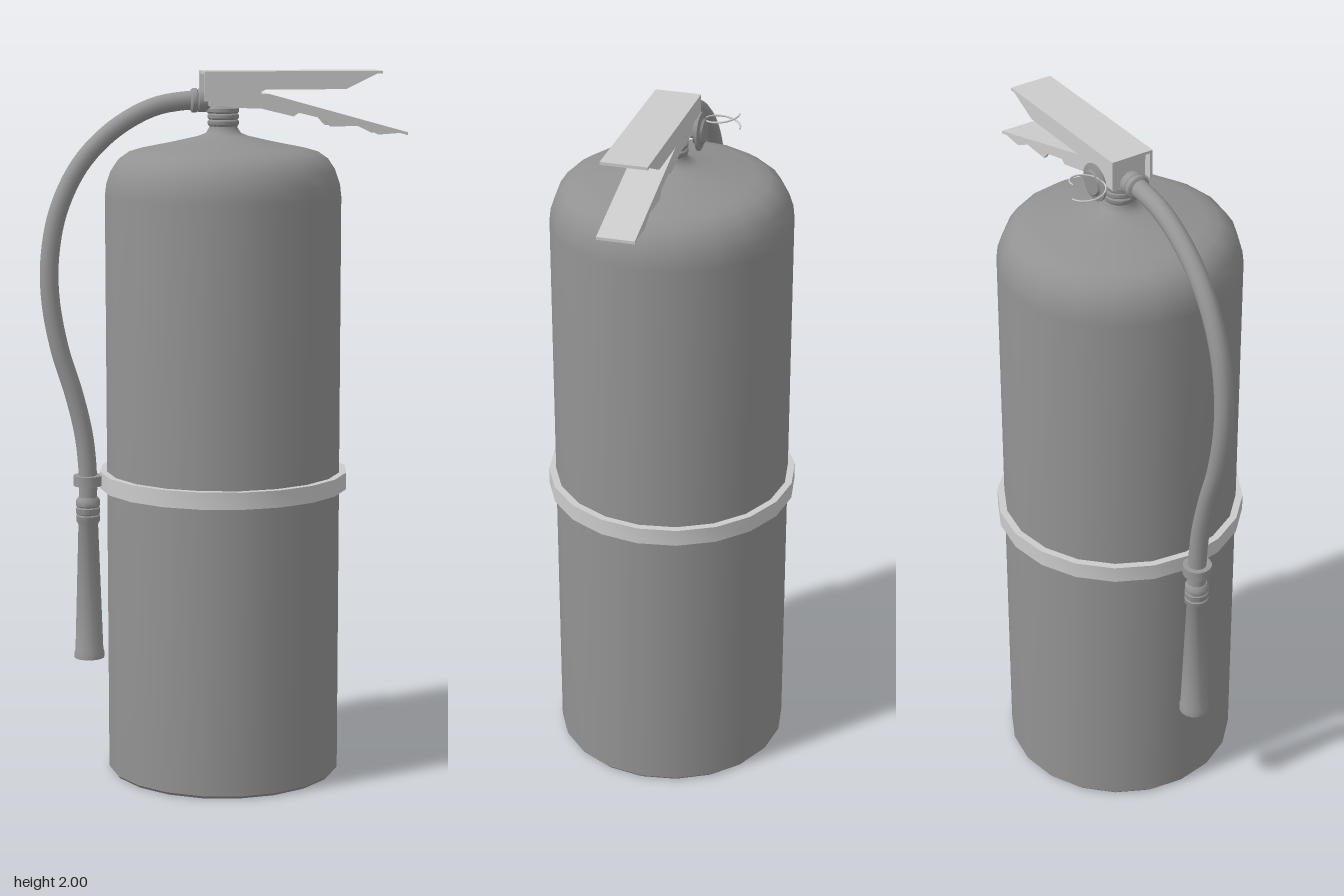
import * as THREE from 'three';
import { toCreasedNormals } from 'three/addons/utils/BufferGeometryUtils.js';

const paint = (color) => new THREE.MeshStandardMaterial({ color, side: THREE.DoubleSide });
const metal = paint(0xcccccc);
const enamel = paint(0x929292);
const rubber = paint(0x989898);
const vecs = (pts) => pts.map(([x, y]) => new THREE.Vector2(x, y));

function add(parent, name, material, geometry, x = 0, y = 0, z = 0) {
  const mesh = new THREE.Mesh(geometry, material);
  mesh.name = name;
  mesh.position.set(x, y, z);
  parent.add(mesh);
  return mesh;
}

// Turned part from [radius, y] points, listed from bottom to top
const turned = (pts, sides) => toCreasedNormals(new THREE.LatheGeometry(vecs(pts), sides), 0.7);

// Side outline extruded across z, centred on zMid
function slab(outline, width, zMid = 0) {
  const g = new THREE.ExtrudeGeometry(new THREE.Shape(vecs(outline)), { depth: width, bevelEnabled: false });
  return g.translate(0, 0, zMid - width / 2);
}

// Pressed-metal lever: two side walls joined by thin plates along its top edges
function lever(parent, name, outline, top, half) {
  const group = new THREE.Group();
  group.name = name;
  const t = 0.008;
  for (const s of [-1, 1]) add(group, name + 'Wall', metal, slab(outline, t, s * (half - t / 2)));
  for (let i = 0; i < top.length - 1; i++) {
    const [a, b] = [top[i], top[i + 1]];
    add(group, name + 'Plate', metal, slab([a, [a[0], a[1] - t], [b[0], b[1] - t], b], half * 2));
  }
  parent.add(group);
}

export function createModel() {
  const model = new THREE.Group();
  model.name = 'fireExtinguisher';

  // Tank with recessed base and domed shoulder
  add(model, 'tank', enamel, turned([
    [0, 0.05], [0.2, 0.046], [0.27, 0.035], [0.3, 0.018], [0.312, 0], [0.326, 0], [0.333, 0.008],
    [0.333, 1.655], [0.329, 1.69], [0.317, 1.725], [0.297, 1.755], [0.268, 1.775], [0.23, 1.786],
    [0.14, 1.804], [0.07, 1.82], [0.05, 1.828], [0.04, 1.843], [0.037, 1.86], [0, 1.86],
  ], 20));

  // Strap round the tank
  add(model, 'strap', metal, turned([[0.33, 0.827], [0.353, 0.827], [0.353, 0.875], [0.33, 0.875], [0.33, 0.827]], 20));

  // Threaded neck
  add(model, 'neck', enamel, turned([
    [0.038, 1.845], [0.044, 1.853], [0.044, 1.862], [0.04, 1.866], [0.044, 1.87], [0.044, 1.879],
    [0.04, 1.883], [0.044, 1.887], [0.044, 1.896], [0.035, 1.905], [0.035, 1.925],
  ], 16));

  // Valve block between the levers
  add(model, 'valveBlock', metal, slab([[-0.045, 1.905], [0.03, 1.905], [0.1, 1.925], [0.1, 1.985], [-0.045, 1.985]], 0.1));

  // Upper and lower squeeze levers
  lever(model, 'upperLever',
    [[-0.06, 2], [-0.06, 1.918], [0.045, 1.918], [0.11, 1.95], [0.335, 1.95], [0.439, 2]],
    [[-0.06, 2], [0.439, 2]], 0.063);
  lever(model, 'lowerLever',
    [[-0.04, 1.935], [-0.04, 1.91], [0.02, 1.9], [0.1, 1.897], [0.19, 1.875], [0.205, 1.885], [0.275, 1.868],
      [0.295, 1.846], [0.38, 1.848], [0.43, 1.823], [0.515, 1.829], [0.12, 1.938]],
    [[-0.04, 1.935], [0.12, 1.938], [0.515, 1.829]], 0.051);

  // Pressure gauge on the back of the valve
  const gauge = add(model, 'gauge', enamel, turned([
    [0, 0], [0.02, 0], [0.02, 0.016], [0.034, 0.02], [0.034, 0.026], [0.052, 0.031], [0.052, 0.036],
    [0.036, 0.04], [0.032, 0.046], [0, 0.046],
  ], 20), 0, 1.92, -0.045);
  gauge.rotation.x = -Math.PI / 2;

  // Split pull ring, its two ends sprung apart at the far side
  const ring = [];
  for (let i = 0; i <= 24; i++) {
    const a = -Math.PI / 2 + (i / 24) * Math.PI * 2;
    ring.push(new THREE.Vector3(-0.042 + 0.048 * Math.cos(a), 1.964 - 0.044 * (i / 24), -0.128 + 0.047 * Math.sin(a)));
  }
  add(model, 'pullRing', metal, new THREE.TubeGeometry(new THREE.CatmullRomCurve3(ring), 48, 0.0025, 6));

  // Hose and its coupling
  const hosePath = new THREE.CatmullRomCurve3([
    [-0.04, 1.92], [-0.11, 1.918], [-0.2, 1.9], [-0.31, 1.838], [-0.4, 1.745], [-0.462, 1.62], [-0.488, 1.49],
    [-0.488, 1.37], [-0.464, 1.23], [-0.425, 1.1], [-0.398, 0.98], [-0.388, 0.87], [-0.388, 0.78],
  ].map(([x, y]) => new THREE.Vector3(x, y, 0)));
  add(model, 'hose', rubber, new THREE.TubeGeometry(hosePath, 60, 0.026, 12));
  const coupling = add(model, 'hoseCoupling', rubber, turned([
    [0, 0], [0.033, 0], [0.033, 0.02], [0.03, 0.023], [0.034, 0.026], [0.034, 0.038], [0.026, 0.044], [0, 0.044],
  ], 16), -0.05, 1.919, 0);
  coupling.rotation.z = Math.PI / 2;

  // Flared nozzle with grip rings and hollow mouth
  add(model, 'nozzle', rubber, turned([
    [0, 0.62], [0.02, 0.6], [0.036, 0.338], [0.043, 0.335], [0.043, 0.35], [0.04, 0.36], [0.028, 0.725],
    [0.034, 0.735], [0.034, 0.75], [0.031, 0.753], [0.034, 0.757], [0.034, 0.772],
    [0.031, 0.775], [0.034, 0.779], [0.034, 0.794], [0.028, 0.803], [0, 0.803],
  ], 16), -0.388);

  // Clip holding the hose to the strap
  add(model, 'hoseClip', rubber, turned([[0.024, 0.837], [0.041, 0.837], [0.041, 0.866], [0.024, 0.866]], 16), -0.388);
  add(model, 'clipBracket', rubber, new THREE.BoxGeometry(0.03, 0.029, 0.03), -0.346, 0.8515, 0);

  return model;
}
